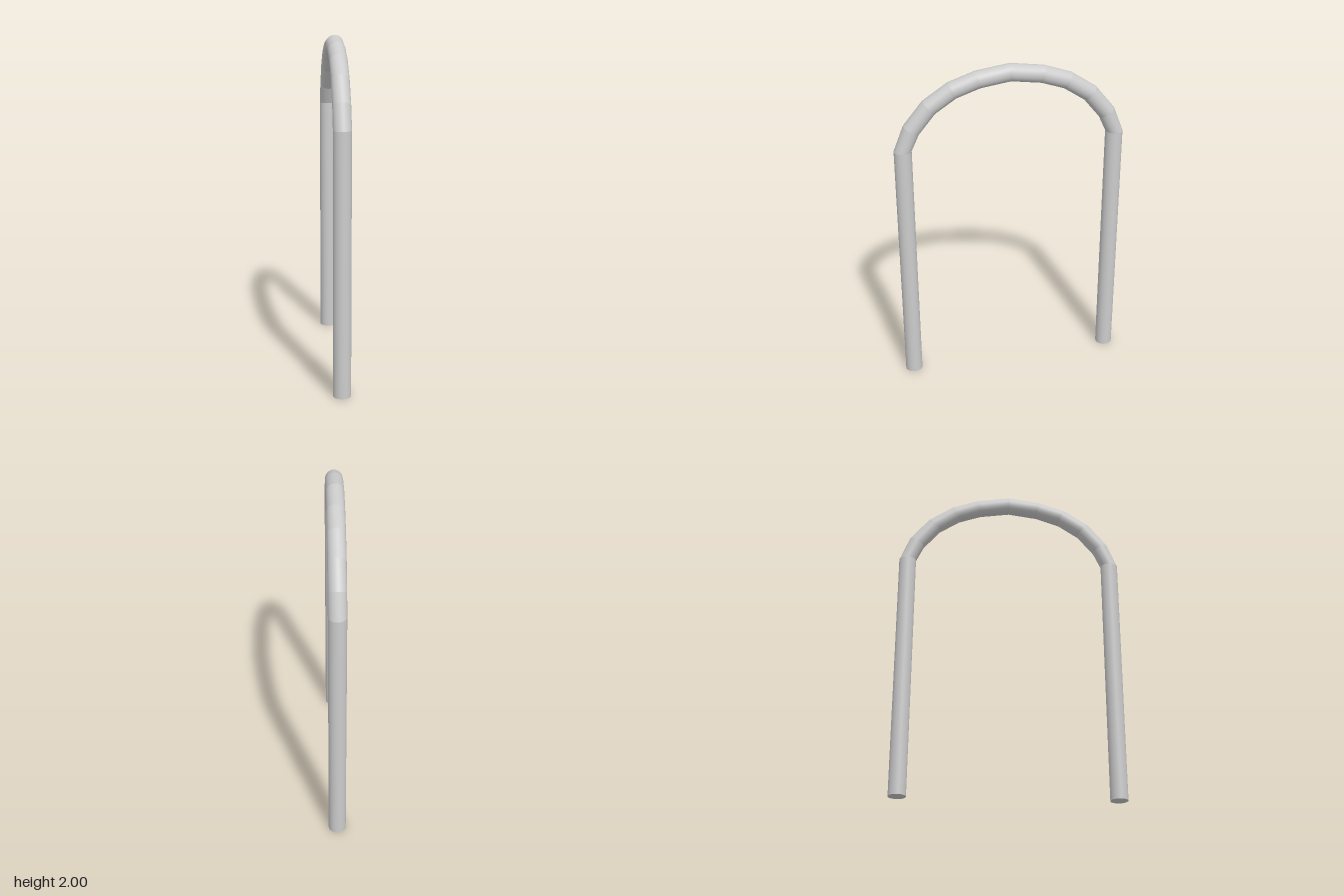
import * as THREE from 'three';

const RADIUS = 0.052, SIDES = 32, LEG_Z = 0.635, LEG_TOP = 1.525;

// Ring of points around a path point, square to the tangent (path lies in the yz plane)
function ring(centre, tangent) {
  const u = new THREE.Vector3(1, 0, 0);
  const v = new THREE.Vector3().crossVectors(tangent, u);
  return Array.from({ length: SIDES }, (_, i) => {
    const a = (i / SIDES) * Math.PI * 2;
    return centre.clone()
      .addScaledVector(u, RADIUS * Math.cos(a))
      .addScaledVector(v, RADIUS * Math.sin(a));
  });
}

// Pipe section between two rings: smooth around, creased at its ends
function section(a, b) {
  const index = [];
  for (let i = 0; i < SIDES; i++) {
    const j = (i + 1) % SIDES;
    index.push(i, j, SIDES + i, j, SIDES + j, SIDES + i);
  }
  const geometry = new THREE.BufferGeometry().setFromPoints([...a, ...b]);
  geometry.setIndex(index);
  geometry.computeVertexNormals();
  return geometry;
}

export function createModel() {
  const group = new THREE.Group();
  group.name = 'hoopRail';
  const material = new THREE.MeshStandardMaterial({ color: 0xcccccc });

  // Centre line: up the front leg, over the arch, down the back leg
  const half = [
    [LEG_Z, 0], [LEG_Z, LEG_TOP], [0.582, 1.65], [0.476, 1.779],
    [0.339, 1.87], [0.19, 1.921],
  ];
  const path = [...half, [0, 1.948], ...half.map(([z, y]) => [-z, y]).reverse()]
    .map(([z, y]) => new THREE.Vector3(0, y, z));
  const last = path.length - 1;

  // The legs are cut square; the arch joints follow the bisecting plane
  const rings = path.map((p, i) => {
    const t = new THREE.Vector3();
    if (i < 2) t.set(0, 1, 0);
    else if (i > last - 2) t.set(0, -1, 0);
    else {
      const before = p.clone().sub(path[i - 1]).normalize();
      t.copy(path[i + 1]).sub(p).normalize().add(before).normalize();
    }
    return ring(p, t);
  });

  for (let i = 0; i < last; i++) {
    const mesh = new THREE.Mesh(section(rings[i], rings[i + 1]), material);
    mesh.name = i === 0 ? 'frontLeg' : i === last - 1 ? 'backLeg' : `archSection${i}`;
    group.add(mesh);
  }

  // Flat feet closing the legs
  for (const [name, z] of [['frontFoot', LEG_Z], ['backFoot', -LEG_Z]]) {
    const foot = new THREE.Mesh(new THREE.CircleGeometry(RADIUS, SIDES), material);
    foot.name = name;
    foot.rotation.x = Math.PI / 2;
    foot.position.z = z;
    group.add(foot);
  }

  // Slight turn of the whole hoop
  group.rotation.y = 0.0134;
  return group;
}
